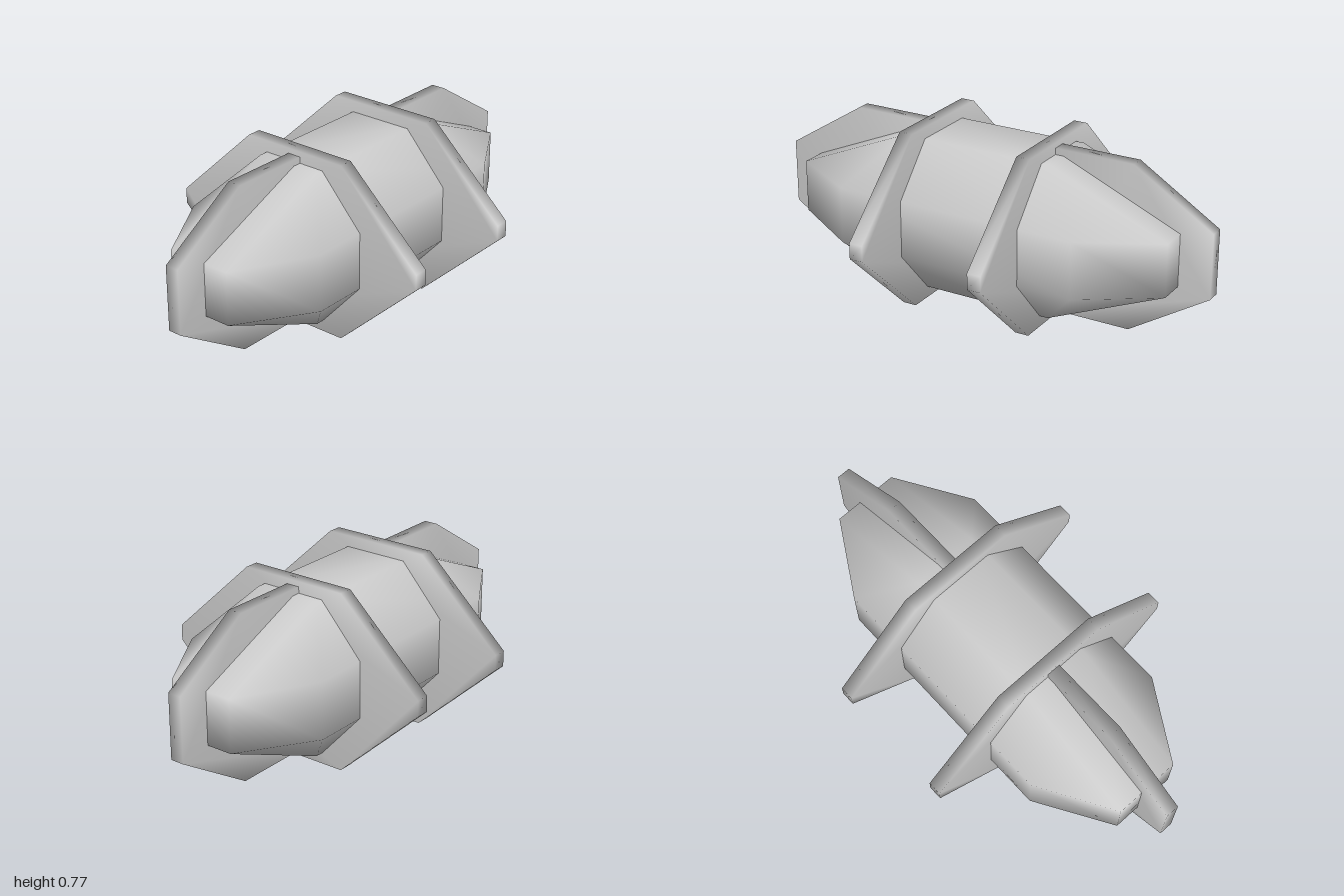
import * as THREE from 'three';
import { mergeVertices } from 'three/addons/utils/BufferGeometryUtils.js';

const CY = 0.385; // height of the long axis
const material = new THREE.MeshStandardMaterial({ color: 0xcccccc });

// Weld corners so shading flows softly over the edges
function soften(geometry) {
  geometry.deleteAttribute('uv');
  geometry.deleteAttribute('normal');
  const welded = mergeVertices(geometry, 1e-4);
  welded.computeVertexNormals();
  return welded;
}

// Flat plate cut from an outline, centred on its thickness
function plate(points, thickness) {
  const shape = new THREE.Shape(points.map(([x, y]) => new THREE.Vector2(x, y)));
  const geometry = new THREE.ExtrudeGeometry(shape, { depth: thickness, bevelEnabled: false });
  geometry.translate(0, 0, -thickness / 2);
  return geometry;
}

// Octagonal hull whose sides run further out than its top, closing to rectangular ends
function hullGeometry() {
  const a = 0.145, b = 0.123, r = 0.336, endX = 0.86;
  // [z, y, x reach] around the octagon
  const profile = [
    [a, r, 0.34], [r, b, 0.54], [r, -b, 0.54], [a, -r, 0.34],
    [-a, -r, 0.34], [-r, -b, 0.54], [-r, b, 0.54], [-a, r, 0.34],
  ];
  const endPoint = ([z, y], s) => [s * endX, Math.sign(y) * 0.114, Math.sign(z) * a];
  const loops = [
    profile.map((p) => endPoint(p, -1)),
    profile.map(([z, y, x]) => [-x, y, z]),
    profile.map(([z, y, x]) => [x, y, z]),
    profile.map((p) => endPoint(p, 1)),
  ];
  const positions = [];
  const tri = (p, q, s) => {
    const same = (m, n) => m.every((v, i) => v === n[i]);
    if (!same(p, q) && !same(q, s) && !same(p, s)) positions.push(...p, ...q, ...s);
  };
  for (let j = 0; j < 3; j++) {
    for (let k = 0; k < 8; k++) {
      const n = (k + 1) % 8;
      const [p, q, s, t] = [loops[j][k], loops[j][n], loops[j + 1][n], loops[j + 1][k]];
      tri(p, q, s);
      tri(p, s, t);
    }
  }
  // End caps
  for (const [loop, flip] of [[loops[0], true], [loops[3], false]]) {
    const [p, q, s, t] = [loop[0], loop[2], loop[4], loop[6]];
    if (flip) { tri(p, s, q); tri(p, t, s); } else { tri(p, q, s); tri(p, s, t); }
  }
  const geometry = new THREE.BufferGeometry();
  geometry.setAttribute('position', new THREE.Float32BufferAttribute(positions, 3));
  return soften(geometry);
}

export function createModel() {
  const model = new THREE.Group();
  model.name = 'finnedCapsule';
  const add = (name, geometry, x, y) => {
    const mesh = new THREE.Mesh(geometry, material);
    mesh.name = name;
    mesh.position.set(x, y, 0);
    model.add(mesh);
    return mesh;
  };

  add('hull', hullGeometry(), 0, CY);

  // Two upright collars around the hull
  const collar = soften(plate([
    [0.24, -0.385], [0.615, -0.034], [0.615, 0.034], [0.24, 0.385],
    [-0.24, 0.385], [-0.615, 0.034], [-0.615, -0.034], [-0.24, -0.385],
  ], 0.06).rotateY(Math.PI / 2));

  // Vertical fin reaching from each collar past the end of the hull
  const fin = soften(plate([
    [0.28, -0.36], [0.65, -0.36], [1, -0.14], [1, 0.14], [0.65, 0.36], [0.28, 0.36],
  ], 0.06));

  for (const [side, s] of [['left', 1], ['right', -1]]) {
    add(side + 'Collar', collar, s * 0.273, CY);
    add(side + 'Fin', fin, 0, CY + 0.003).rotation.y = s > 0 ? 0 : Math.PI;
  }
  return model;
}
